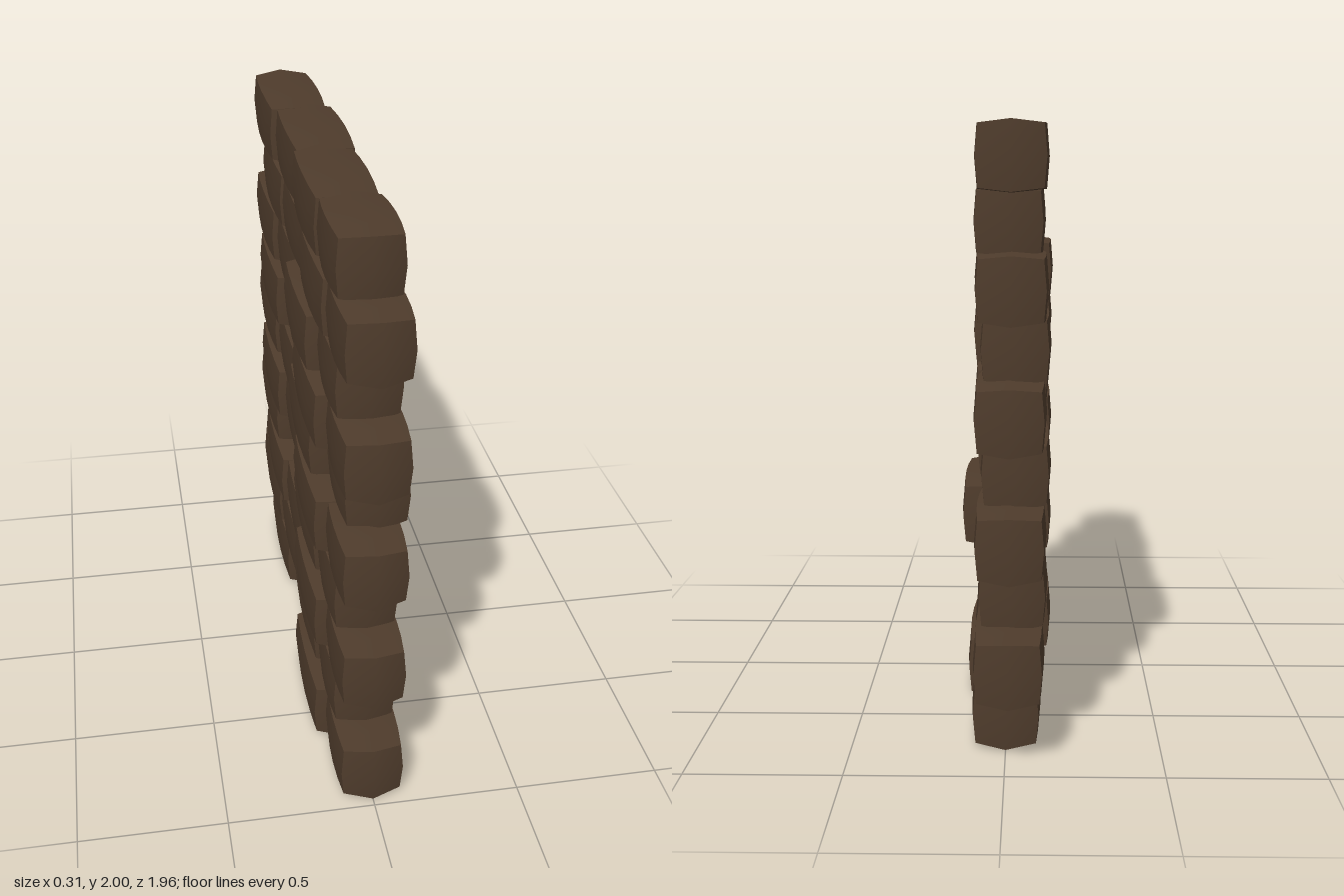
import * as THREE from 'three';
import { mergeVertices } from 'three/addons/utils/BufferGeometryUtils.js';

const stone = new THREE.MeshStandardMaterial({ color: 0x4f3c2c });
stone.name = 'brown stone';

// Brick joints along z, for alternating courses
const JOINTS = [
  [0.945, 0.62, 0.17, -0.32, -0.78],
  [0.79, 0.455, 0.0, -0.48, -0.945],
];

// How far each brick sits proud of the wall, per course from the ground up
const OFFSETS = [
  [0, -0.04, 0.033, 0],
  [0, -0.015, 0, -0.01],
  [0, -0.04, 0, -0.02],
  [0, -0.015, 0.043, -0.015],
  [0, -0.04, 0, -0.03],
  [0.033, -0.03, 0, -0.015],
  [0, -0.04, 0.01, -0.03],
  [0, -0.042, 0, -0.02],
  [0, -0.015, 0, -0.01],
  [0, -0.01, 0, -0.02],
];

// Pillow-shaped brick: every face swells towards its middle
function brickGeometry(length) {
  const geometry = new THREE.BoxGeometry(2, 2, 2, 2, 2, 4);
  const p = geometry.attributes.position;
  for (let i = 0; i < p.count; i++) {
    const x = p.getX(i), y = p.getY(i), z = p.getZ(i);
    const bx = 1 - x * x, by = 1 - y * y, bz = 1 - z * z;
    p.setXYZ(
      i,
      x * (0.098 + 0.008 * by + 0.009 * bz),
      y * (0.094 + 0.011 * bx + 0.005 * bz),
      z * (length / 2 + 0.03 * bx + 0.005 * by),
    );
  }
  geometry.deleteAttribute('uv');
  const smooth = mergeVertices(geometry); // keeps the edges between faces sharp
  smooth.computeVertexNormals();
  return smooth;
}

export function createModel() {
  const wall = new THREE.Group();
  wall.name = 'brickWall';
  OFFSETS.forEach((offsets, row) => {
    const course = new THREE.Group();
    course.name = `course${row + 1}`;
    const joints = JOINTS[row % 2];
    offsets.forEach((x, i) => {
      const brick = new THREE.Mesh(brickGeometry(joints[i] - joints[i + 1]), stone);
      brick.name = `brick${i + 1}`;
      brick.position.set(x, 0.11 + row * 0.1978, (joints[i] + joints[i + 1]) / 2);
      course.add(brick);
    });
    wall.add(course);
  });
  return wall;
}
